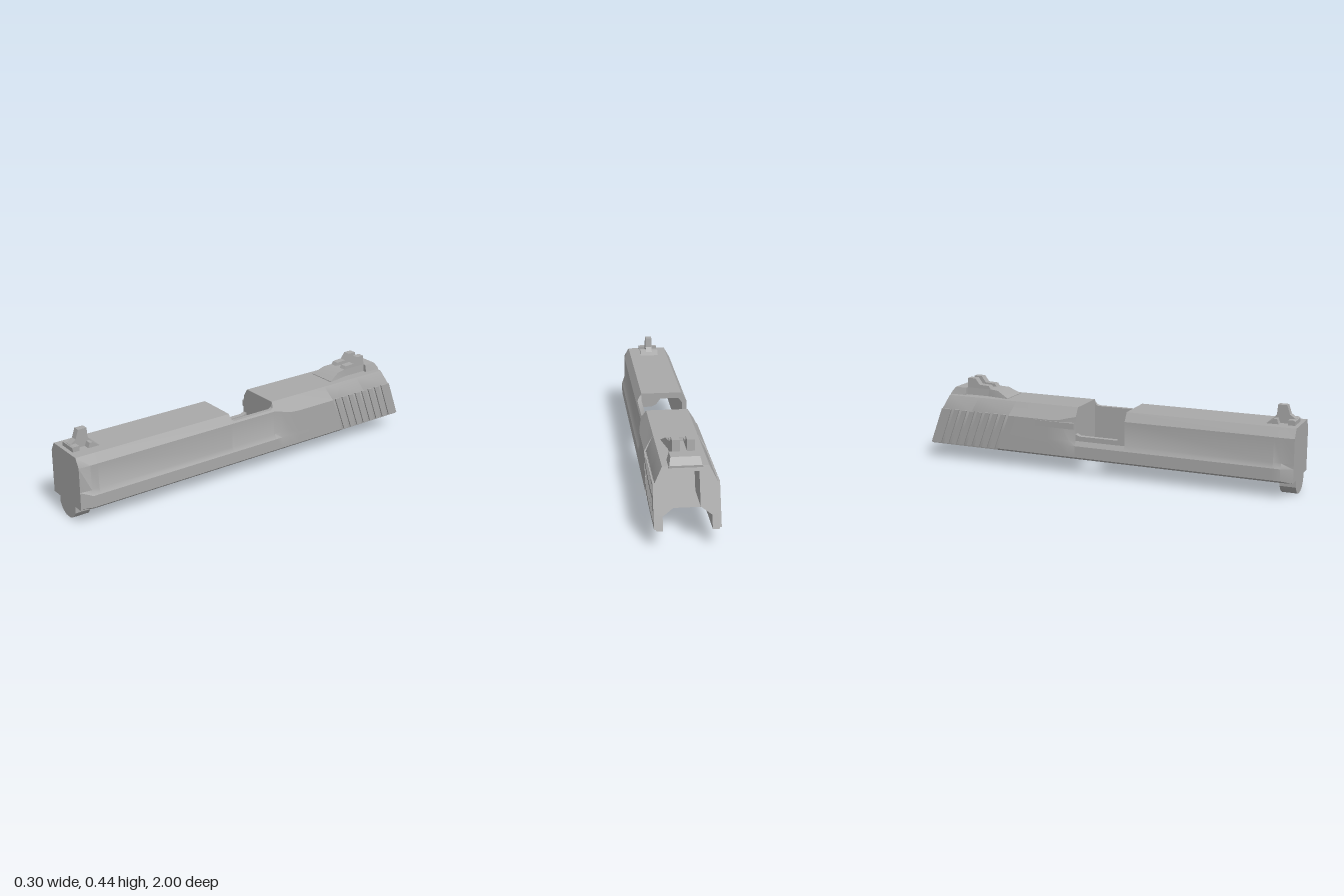
import * as THREE from 'three';
import { toCreasedNormals } from 'three/addons/utils/BufferGeometryUtils.js';

const TOP = 0.345, BASE = 0.08;
const lerp = THREE.MathUtils.lerp;
// z of a raked plane that crosses the top surface at z0
const raked = (z0) => (y) => z0 - (TOP - y) * 0.377;

// Skin between cross-sections ordered front to back; each is { pts, z }, z a number or a rule of y
function loft(sections) {
  const pos = [];
  const rings = sections.map(({ pts, z }) =>
    pts.map(([x, y]) => [x, y, typeof z === 'function' ? z(y) : z]));
  const tri = (a, b, c) => pos.push(...a, ...b, ...c);
  for (let s = 0; s < rings.length - 1; s++) {
    const a = rings[s], b = rings[s + 1];
    for (let i = 0; i < a.length; i++) {
      const j = (i + 1) % a.length;
      tri(b[i], b[j], a[j]);
      tri(b[i], a[j], a[i]);
    }
  }
  const cap = (ring, flip) => {
    const flat = ring.map(([x, y]) => new THREE.Vector2(x, y));
    for (const [i, j, k] of THREE.ShapeUtils.triangulateShape(flat, [])) {
      if (flip) tri(ring[i], ring[k], ring[j]);
      else tri(ring[i], ring[j], ring[k]);
    }
  };
  cap(rings[0], false);
  cap(rings[rings.length - 1], true);
  const g = new THREE.BufferGeometry();
  g.setAttribute('position', new THREE.Float32BufferAttribute(pos, 3));
  return toCreasedNormals(g, 0.5);
}

// Right half of the outer outline, bottom to top; t blends the waisted front into the flat rear
const half = (t, maxX = 1) => [
  [0.14, BASE], [0.15, 0.09], [0.15, 0.15],
  [lerp(0.136, 0.15, t), 0.175],
  [lerp(0.133, 0.15, t), lerp(0.3, 0.275, t)],
  [0.105, TOP],
].map(([x, y]) => [Math.min(x, maxX), y]);

const mirror = (pts) => pts.map(([x, y]) => [-x, y]).reverse();
// Full outline, with an optional cavity open at the bottom
const outline = (h, cavity = []) => [...h, ...mirror(h), ...cavity.map(([x, y]) => [-x, y]), ...cavity.slice().reverse()];

// Side profile given as (z, y), extruded across x
function across(profile, width, xc = 0) {
  const shape = new THREE.Shape(profile.map(([z, y]) => new THREE.Vector2(z, y)));
  const g = new THREE.ExtrudeGeometry(shape, { depth: width, bevelEnabled: false });
  g.rotateY(-Math.PI / 2);
  g.translate(xc + width / 2, 0, 0);
  return g;
}

export function createModel() {
  const model = new THREE.Group();
  const steel = new THREE.MeshStandardMaterial({ color: 0xa8a8a8 });
  steel.name = 'grey steel';
  const add = (name, geometry, parent = model) => {
    const m = new THREE.Mesh(geometry, steel);
    m.name = name;
    parent.add(m);
    return m;
  };

  // Solid nose with tapered cheeks
  add('nose', loft([
    { pts: outline(half(0, 0.131)), z: 1 },
    { pts: outline(half(0)), z: 0.94 },
    { pts: outline(half(0)), z: 0.9 },
  ]));

  // Hollow front body
  const tunnel = [[0.11, BASE], [0.11, 0.29], [0.09, 0.315]];
  add('frontBody', loft([0.9, 0.13].map((z) => ({ pts: outline(half(0), tunnel), z }))));

  // Side walls beside the top opening: high on one side, cut low on the other
  const highWall = (y) => [
    [0.14, BASE], [0.15, 0.09], [0.15, 0.15], [0.136, 0.175], [0.133, 0.3],
    [0.133 - (y - 0.3) * 0.62, y], [0.105, y], [0.105, BASE],
  ];
  add('highWall', loft([[0.13, 0.335], [0.123, 0.317], [0.11, 0.31], [-0.12, 0.31], [-0.133, 0.317], [-0.14, 0.335]]
    .map(([z, y]) => ({ pts: highWall(y), z }))));
  const lowWall = (y) => mirror([
    [0.14, BASE], [0.15, 0.09], [0.15, 0.15], [0.136, 0.175], [0.136, y], [0.11, y], [0.11, BASE],
  ]);
  add('lowWall', loft([[0.13, 0.25], [0.115, 0.22], [0.09, 0.2], [-0.12, 0.2], [-0.14, 0.21]]
    .map(([z, y]) => ({ pts: lowWall(y), z }))));

  // Rear body: flares outwards, then steps in to make the floor of the grip grooves
  const shallow = [[0.11, BASE], [0.11, 0.105]];
  const rear = (z, t, maxX) => ({ pts: outline(half(t, maxX), shallow), z });
  add('rearBody', loft([
    rear(-0.14, 0), rear(-0.18, 0.35), rear(-0.23, 0.85), rear(-0.29, 1),
    rear(raked(-0.495), 1), rear(raked(-0.495), 1, 0.142), rear(raked(-0.72), 1, 0.142),
  ]));

  // Raked tail with a stepped channel
  const channel = [[0.11, BASE], [0.11, 0.14], [0.06, 0.175], [0.06, 0.322]];
  add('tail', loft([-0.72, -0.9].map((z0) => ({ pts: outline(half(1, 0.142), channel), z: raked(z0) }))));

  // Grip ribs on both sides
  const ribs = new THREE.Group();
  ribs.name = 'gripRibs';
  model.add(ribs);
  for (const side of [-1, 1]) {
    for (let k = 0; k < 8; k++) {
      const front = raked(-0.513 - 0.047 * k);
      const back = raked(k === 7 ? -0.9 : -0.542 - 0.047 * k);
      const [lo, hi] = [0.088, 0.277];
      add('gripRib', across([[back(lo), lo], [front(lo), lo], [front(hi), hi], [back(hi), hi]], 0.012, side * 0.144), ribs);
    }
  }

  // Long bar let into the side behind the opening
  const bar = add('sideBar', new THREE.BoxGeometry(0.02, 0.032, 0.22));
  bar.position.set(-0.143, 0.253, -0.255);

  // Rounded lug under the nose
  const lugHalf = [[0.022, 0], [0.053, 0.016], [0.074, 0.045], [0.074, 0.085]];
  add('lowerLug', loft([1, 0.92].map((z) => ({ pts: outline(lugHalf), z }))));

  // Front sight
  const frontSight = new THREE.Group();
  frontSight.name = 'frontSight';
  model.add(frontSight);
  add('frontSightBlade', across([[0.83, 0.34], [0.98, 0.34], [0.975, 0.37], [0.945, 0.39], [0.93, 0.435],
    [0.885, 0.435], [0.88, 0.385], [0.86, 0.36]], 0.034, -0.004), frontSight);
  add('frontSightBar', across([[0.945, 0.34], [0.98, 0.34], [0.98, 0.365], [0.972, 0.37], [0.945, 0.37]], 0.1, -0.004), frontSight);
  add('frontSightFoot', across([[0.83, 0.34], [0.9, 0.34], [0.89, 0.37], [0.875, 0.37]], 0.1, -0.004), frontSight);

  // Rear sight: flared ramp, base, two posts and a back bar
  const rearSight = new THREE.Group();
  rearSight.name = 'rearSight';
  model.add(rearSight);
  const block = (w0, w1, y1) => [[w0, 0.34], [w1, y1], [-w1, y1], [-w0, 0.34]];
  add('rearSightRamp', loft([
    { pts: block(0.078, 0.076, 0.348), z: -0.565 },
    { pts: block(0.066, 0.06, 0.38), z: -0.63 },
    { pts: block(0.055, 0.052, 0.385), z: -0.69 },
  ]), rearSight);
  add('rearSightBase', loft([-0.69, -0.83].map((z) => ({ pts: block(0.055, 0.052, 0.383), z }))), rearSight);
  add('rearSightBar', loft([
    { pts: block(0.078, 0.066, 0.383), z: -0.82 },
    { pts: block(0.078, 0.066, 0.383), z: -0.885 },
    { pts: block(0.078, 0.074, 0.35), z: -0.91 },
  ]), rearSight);
  for (const side of [-1, 1]) {
    add('rearSightPost', across([[-0.82, 0.37], [-0.67, 0.37], [-0.69, 0.4], [-0.745, 0.403], [-0.77, 0.435],
      [-0.815, 0.435]], 0.036, side * 0.034), rearSight);
  }
  return model;
}
